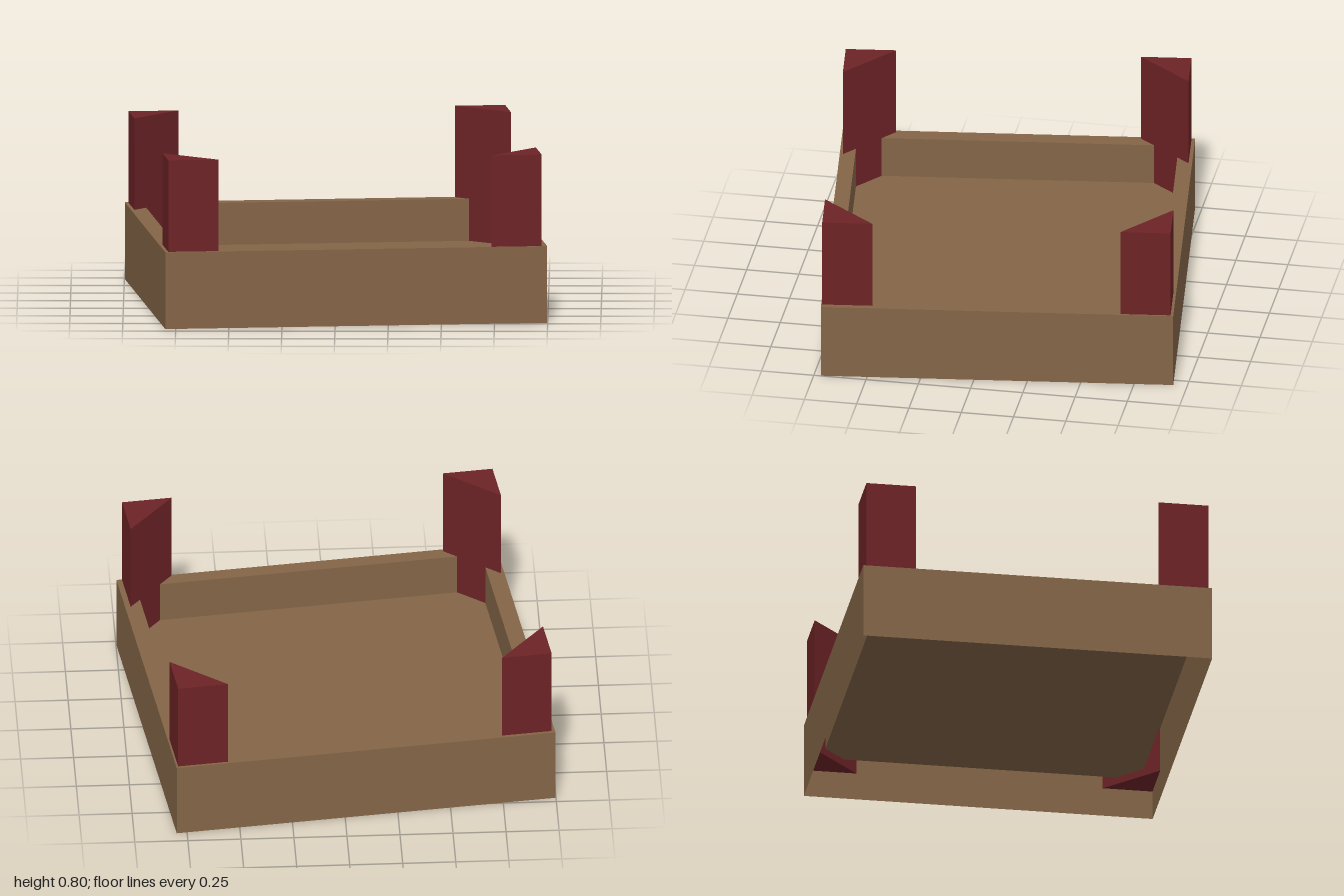
import * as THREE from 'three';

const brown = new THREE.MeshStandardMaterial({ color: 0x846547, flatShading: true, side: THREE.DoubleSide });
brown.name = 'brown wood';
const red = new THREE.MeshStandardMaterial({ color: 0x6d2326, flatShading: true });
red.name = 'dark red';

// Rectangular loops [half width, height, half depth] joined into a folded shell
function shellGeometry(loops) {
  const pos = [];
  const corner = ([w, y, d], i) => [[w, y, d], [w, y, -d], [-w, y, -d], [-w, y, d]][i % 4];
  const quad = (a, b, c, d) => pos.push(...a, ...b, ...c, ...a, ...c, ...d);
  for (let k = 0; k < loops.length - 1; k++) {
    for (let i = 0; i < 4; i++) {
      quad(corner(loops[k], i), corner(loops[k], i + 1), corner(loops[k + 1], i + 1), corner(loops[k + 1], i));
    }
  }
  // raised floor closes the last loop
  const last = loops[loops.length - 1];
  quad(corner(last, 0), corner(last, 1), corner(last, 2), corner(last, 3));
  const geo = new THREE.BufferGeometry();
  geo.setAttribute('position', new THREE.Float32BufferAttribute(pos, 3));
  geo.computeVertexNormals();
  return geo;
}

// Triangular post with its right angle at the outer corner (x, z)
function cornerPost(x, z) {
  const leg = 0.237, bottom = 0.13, top = 0.8;
  const inX = -Math.sign(x) * leg, inZ = -Math.sign(z) * leg;
  const shape = new THREE.Shape([
    new THREE.Vector2(x, -z),
    new THREE.Vector2(x + inX, -z),
    new THREE.Vector2(x, -z - inZ),
  ]);
  const geo = new THREE.ExtrudeGeometry(shape, { depth: top - bottom, bevelEnabled: false });
  geo.rotateX(-Math.PI / 2).translate(0, bottom, 0);
  return new THREE.Mesh(geo, red);
}

export function createModel() {
  const model = new THREE.Group();
  model.name = 'trayTable';
  const body = new THREE.Group();
  body.name = 'body';
  body.rotation.y = 0.12;
  model.add(body);

  // Tray: outer walls, flat rim, inner walls and floor; open underneath
  const tray = new THREE.Mesh(shellGeometry([
    [0.905, 0, 0.831],
    [0.905, 0.365, 0.831],
    [0.825, 0.365, 0.758],
    [0.825, 0.165, 0.758],
  ]), brown);
  tray.name = 'tray';
  body.add(tray);

  // Corner posts pass through the floor
  const posts = {
    backRightPost: [-0.889, -0.814],
    backLeftPost: [0.896, -0.818],
    frontRightPost: [-0.889, 0.816],
    frontLeftPost: [0.879, 0.826],
  };
  for (const [name, [x, z]] of Object.entries(posts)) {
    const post = cornerPost(x, z);
    post.name = name;
    body.add(post);
  }
  return model;
}
